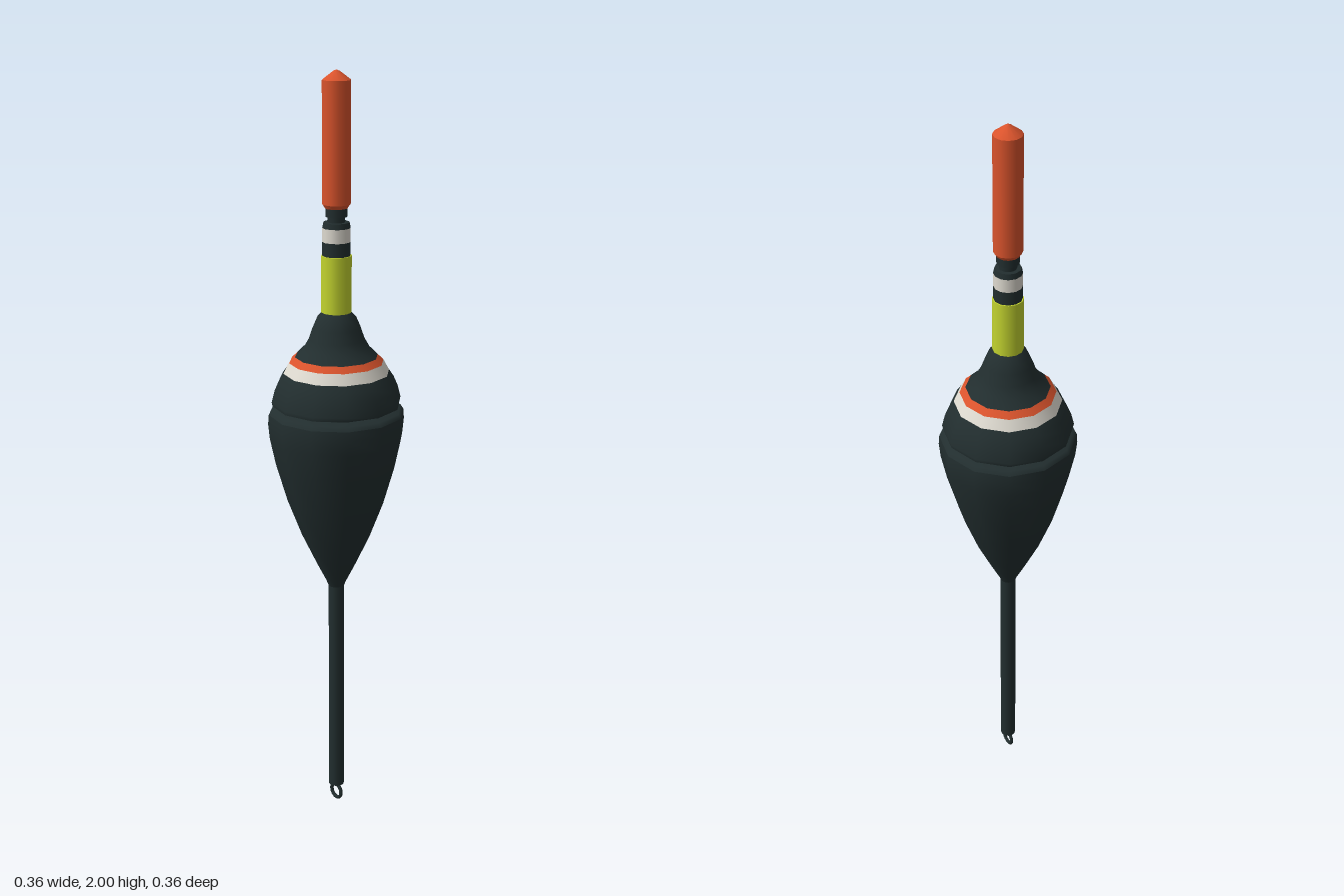
import * as THREE from 'three';

const SIDES = 12;

export function createModel() {
  const model = new THREE.Group();
  model.name = 'fishingFloat';

  const paint = (name, color) => {
    const m = new THREE.MeshStandardMaterial({ color });
    m.name = name;
    return m;
  };
  const dark = paint('dark slate', 0x222e2f);
  const orange = paint('orange', 0xd9532c);
  const white = paint('off white', 0xdedad0);
  const yellow = paint('lime yellow', 0xc3d42f);

  const add = (name, geometry, material) => {
    const mesh = new THREE.Mesh(geometry, material);
    mesh.name = name;
    model.add(mesh);
    return mesh;
  };
  // Turned part from [radius, height] pairs, listed from bottom to top
  const turn = (name, material, profile) =>
    add(name, new THREE.LatheGeometry(profile.map(([r, y]) => new THREE.Vector2(r, y)), SIDES), material);
  // Closed straight or tapered section between two heights
  const section = (name, material, r, y0, y1, rTop = r) => {
    const mesh = add(name, new THREE.CylinderGeometry(rTop, r, y1 - y0, SIDES), material);
    mesh.position.y = (y0 + y1) / 2;
    return mesh;
  };

  // Line ring and stem
  add('lineRing', new THREE.TorusGeometry(0.02, 0.005, 8, 24), dark).position.y = 0.025;
  section('stem', dark, 0.021, 0.05, 0.68);

  // Lower body, a teardrop with a rounded shoulder
  turn('lowerBody', dark, [
    [0.019, 0.645], [0.027, 0.665], [0.052, 0.715], [0.092, 0.8], [0.13, 0.9],
    [0.159, 1.0], [0.174, 1.07], [0.178, 1.11], [0.176, 1.135],
  ]);
  turn('lowerShoulder', dark, [[0.176, 1.135], [0.169, 1.146], [0.14, 1.152]]);
  section('groove', dark, 0.145, 1.13, 1.18);

  // Upper body with two painted bands
  turn('upperRim', dark, [[0.14, 1.157], [0.166, 1.158]]);
  turn('upperBody', dark, [[0.166, 1.158], [0.168, 1.168], [0.16, 1.2], [0.149, 1.225], [0.137, 1.243]]);
  turn('whiteBand', white, [[0.137, 1.243], [0.122, 1.27]]);
  turn('orangeBand', orange, [[0.122, 1.27], [0.107, 1.285]]);
  turn('bodyNeck', dark, [
    [0.107, 1.285], [0.085, 1.307], [0.072, 1.33], [0.062, 1.36], [0.051, 1.385], [0.036, 1.402],
  ]);

  // Antenna collar
  section('yellowCollar', yellow, 0.039, 1.4, 1.545);
  section('lowerDarkCollar', dark, 0.036, 1.545, 1.58);
  section('whiteCollar', white, 0.036, 1.58, 1.615);
  section('upperDarkCollar', dark, 0.036, 1.615, 1.629, 0.033);
  section('antennaPin', dark, 0.022, 1.62, 1.67);
  section('antennaSeat', dark, 0.028, 1.643, 1.666);

  // Orange antenna with a pointed tip
  section('antennaBase', orange, 0.029, 1.664, 1.676, 0.036);
  section('antenna', orange, 0.036, 1.674, 1.976);
  turn('antennaTip', orange, [[0.036, 1.976], [0.008, 1.997], [0, 2]]);

  return model;
}
